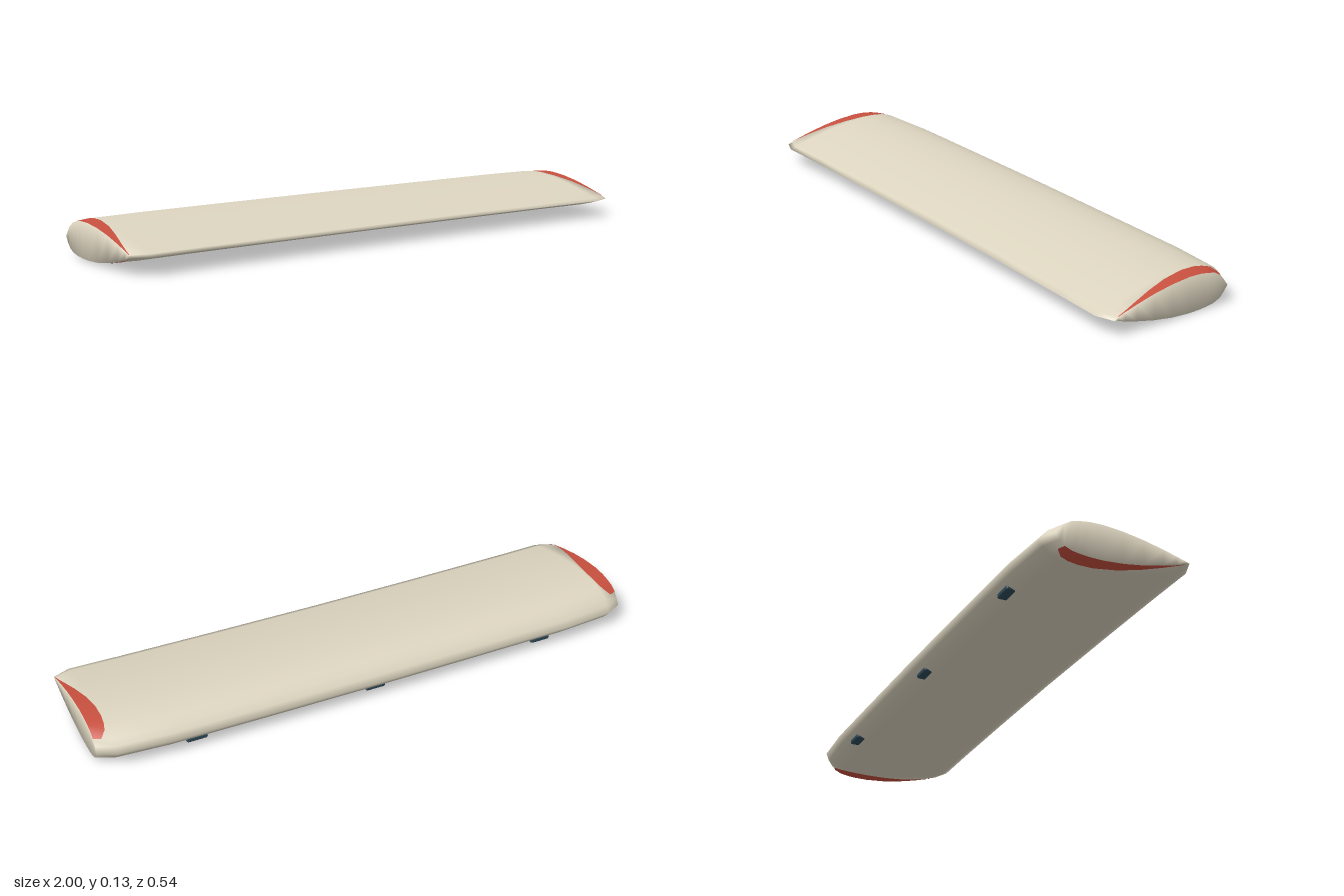
import * as THREE from 'three';
import { RoundedBoxGeometry } from 'three/addons/geometries/RoundedBoxGeometry.js';

// Aerofoil profile: chord fraction from the blunt edge, upper and lower heights
const CHORD = [0, 0.03, 0.065, 0.12, 0.18, 0.25, 0.35, 0.5, 0.65, 0.8, 0.9, 0.96, 1];
const UPPER = [0.06, 0.08, 0.1, 0.116, 0.123, 0.128, 0.129, 0.122, 0.109, 0.091, 0.077, 0.068, 0.061];
const LOWER = [0.06, 0.04, 0.022, 0.01, 0.005, 0.002, 0.001, 0.006, 0.017, 0.033, 0.046, 0.055, 0.061];
const LAST = CHORD.length - 1;
const RING = LAST * 2;
const MID = 0.062;

// Half-span sections: x, blunt edge z, thin edge z, thickness scale
const SECTIONS = [
  [0, -0.27, 0.255, 1], [0.4, -0.268, 0.258, 1], [0.75, -0.265, 0.263, 1],
  [0.94, -0.25, 0.268, 1], [1, -0.22, 0.245, 0.96],
];

// Point on the skin at span x (either sign), chord index i
function skinPoint(x, i, heights, lift = 0) {
  const ax = Math.abs(x);
  let s = 0;
  while (s < SECTIONS.length - 2 && ax > SECTIONS[s + 1][0]) s++;
  const a = SECTIONS[s], b = SECTIONS[s + 1];
  const t = (ax - a[0]) / (b[0] - a[0]);
  const [, z0, z1, k] = a.map((v, n) => THREE.MathUtils.lerp(v, b[n], t));
  return [x, MID + (heights[i] - MID) * k + lift, z0 + (z1 - z0) * CHORD[i]];
}

function indexedGeometry(positions, index) {
  const geo = new THREE.BufferGeometry();
  geo.setAttribute('position', new THREE.Float32BufferAttribute(positions, 3));
  geo.setIndex(index);
  geo.computeVertexNormals();
  return geo;
}

// Closed wing skin lofted through all sections, with smooth end caps
function wingGeometry() {
  const right = SECTIONS.slice(1).map((s) => -s[0]).reverse();
  const stations = [...right, ...SECTIONS.map((s) => s[0])];
  const positions = [], index = [];
  stations.forEach((x, j) => {
    for (let k = 0; k < RING; k++) {
      const p = k <= LAST ? skinPoint(x, k, UPPER) : skinPoint(x, RING - k, LOWER);
      positions.push(...p);
      if (j === stations.length - 1) continue;
      const a = j * RING + k, d = j * RING + (k + 1) % RING;
      index.push(a, d, d + RING, a, d + RING, a + RING);
    }
  });
  for (const end of [0, stations.length - 1]) {
    const base = end * RING;
    for (let i = 0; i < LAST; i++) {
      const t0 = base + i, t1 = t0 + 1;
      const b0 = base + (RING - i) % RING, b1 = base + RING - i - 1;
      const tris = [];
      if (i > 0) tris.push([t0, t1, b0]);
      if (i < LAST - 1) tris.push([t1, b1, b0]);
      for (const [p, q, r] of tris) index.push(...(end ? [p, q, r] : [p, r, q]));
    }
  }
  return indexedGeometry(positions, index);
}

// Crescent of paint just above the skin: inner x at chord indices 2 to 11
const TIP_INNER = [0.975, 0.956, 0.949, 0.946, 0.947, 0.957, 0.972, 0.987, 0.995, 0.998];

function tipGeometry(side, heights) {
  const top = heights === UPPER;
  const lift = top ? 0.0015 : -0.0015;
  const positions = [], index = [];
  TIP_INNER.forEach((inner, n) => {
    positions.push(...skinPoint(side * inner, n + 2, heights, lift));
    positions.push(...skinPoint(side, n + 2, heights, lift));
    if (n === TIP_INNER.length - 1) return;
    const a = n * 2;
    if ((side > 0) === top) index.push(a, a + 2, a + 3, a, a + 3, a + 1);
    else index.push(a, a + 3, a + 2, a, a + 1, a + 3);
  });
  return indexedGeometry(positions, index);
}

export function createModel() {
  const cream = new THREE.MeshStandardMaterial({ color: 0xddd5c0 });
  cream.name = 'cream';
  const red = new THREE.MeshStandardMaterial({ color: 0xc8503f });
  red.name = 'red';
  const slate = new THREE.MeshStandardMaterial({ color: 0x2f4a57 });
  slate.name = 'slate';

  const model = new THREE.Group();
  model.name = 'wing';
  const add = (name, geometry, material) => {
    const mesh = new THREE.Mesh(geometry, material);
    mesh.name = name;
    model.add(mesh);
    return mesh;
  };

  add('wingSkin', wingGeometry(), cream);

  // Painted tips, above and below at both ends
  for (const side of [1, -1]) {
    const label = side > 0 ? 'left' : 'right';
    add(label + 'TipUpper', tipGeometry(side, UPPER), red);
    add(label + 'TipLower', tipGeometry(side, LOWER), red);
  }

  // Three small brackets under the blunt edge
  for (const x of [-0.66, 0, 0.66]) {
    const bracket = add('bracket', new RoundedBoxGeometry(0.075, 0.02, 0.036, 2, 0.007), slate);
    bracket.position.set(x, 0.021, -0.22);
  }
  return model;
}
